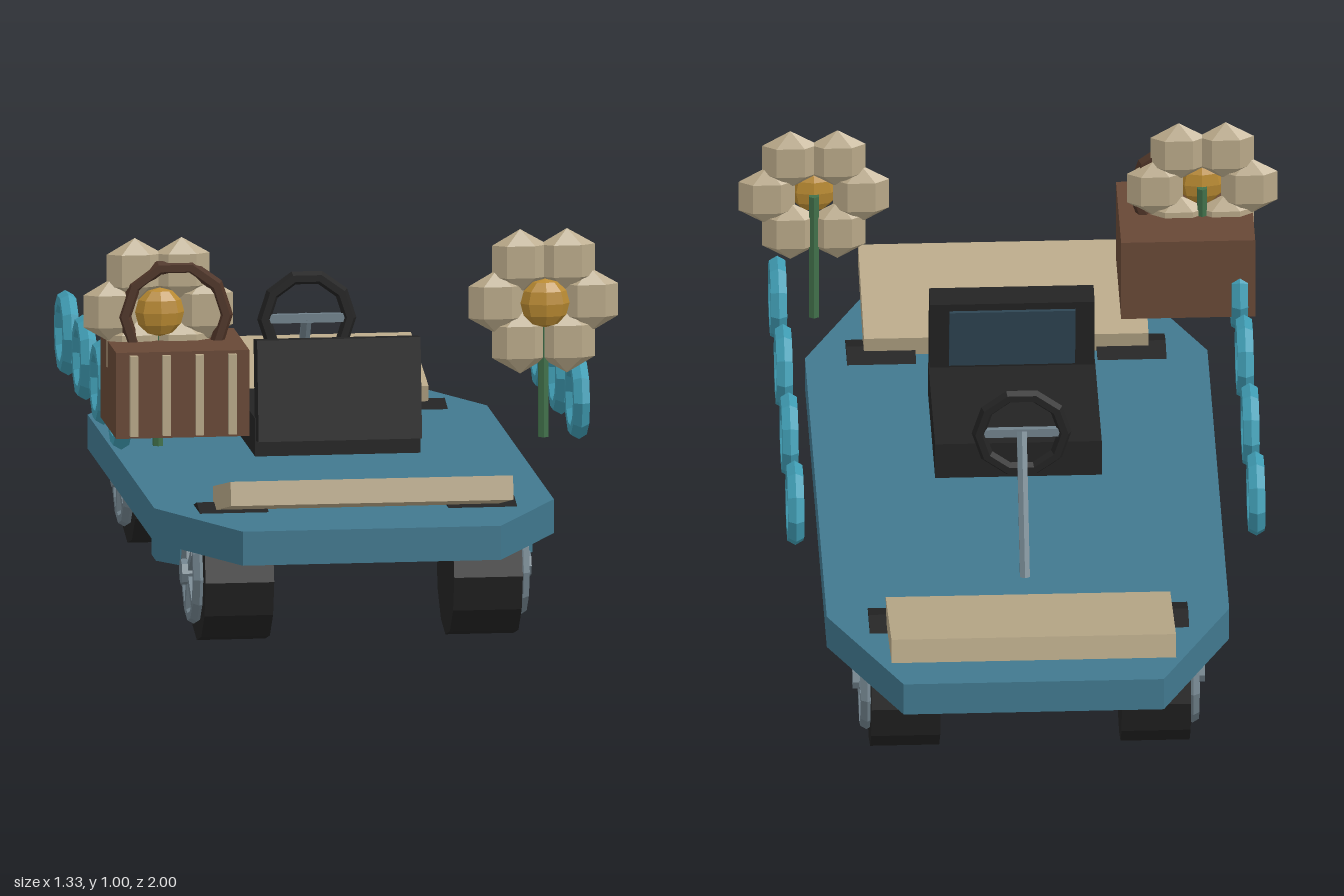
import * as THREE from 'three';

const mat = (name, color, extra = {}) => {
  const m = new THREE.MeshStandardMaterial({ color, flatShading: true, ...extra });
  m.name = name;
  return m;
};

export function createModel() {
  const M = {
    blue: mat('deckBlue', 0x41798f),
    ring: mat('ringBlue', 0x409db4),
    beige: mat('beige', 0xb8a888),
    gold: mat('gold', 0xb98a32),
    brown: mat('basketBrown', 0x684836),
    dark: mat('handleBrown', 0x4e3427),
    black: mat('black', 0x232323),
    grey: mat('metalGrey', 0x71828c),
    green: mat('stemGreen', 0x41704a),
    slate: mat('panelSlate', 0x2d4452),
  };
  const model = new THREE.Group();
  model.name = 'flowerBuggy';

  const add = (parent, name, geo, material, x = 0, y = 0, z = 0) => {
    const mesh = new THREE.Mesh(geo, material);
    mesh.name = name;
    mesh.position.set(x, y, z);
    parent.add(mesh);
    return mesh;
  };
  const group = (name, x, y, z) => {
    const g = new THREE.Group();
    g.name = name;
    g.position.set(x, y, z);
    model.add(g);
    return g;
  };
  const box = (w, h, d) => new THREE.BoxGeometry(w, h, d);

  // Eight-sided deck
  const outline = [[0.495, 0.645], [0.32, 0.99], [-0.32, 0.99], [-0.495, 0.645],
    [-0.495, -0.645], [-0.32, -0.99], [0.32, -0.99], [0.495, -0.645]];
  const deckShape = new THREE.Shape(outline.map(([x, z]) => new THREE.Vector2(x, z)));
  const deckGeo = new THREE.ExtrudeGeometry(deckShape, { depth: 0.085, bevelEnabled: false });
  deckGeo.rotateX(Math.PI / 2);
  add(model, 'deck', deckGeo, M.blue, 0, 0.327, 0);

  // Tilted end boards
  for (const s of [1, -1]) {
    const board = add(model, s > 0 ? 'frontBoard' : 'rearBoard', box(0.7, 0.06, 0.35), M.beige, 0, 0.386, s * 0.822);
    board.rotation.x = -s * 0.21;
  }

  // Wheels: tyre, rim, hub and five spokes on the outer side
  const tyreGeo = new THREE.CylinderGeometry(0.172, 0.172, 0.17, 12).rotateZ(Math.PI / 2).rotateX(Math.PI / 2);
  const rimGeo = new THREE.TorusGeometry(0.113, 0.018, 6, 12).rotateY(Math.PI / 2);
  const hubGeo = new THREE.CylinderGeometry(0.032, 0.032, 0.04, 8).rotateZ(Math.PI / 2);
  for (const sx of [1, -1]) for (const sz of [1, -1]) {
    const wheel = group('wheel', sx * 0.308, 0.172, sz * 0.67);
    add(wheel, 'tyre', tyreGeo, M.black);
    add(wheel, 'rim', rimGeo, M.grey, sx * 0.093);
    add(wheel, 'hub', hubGeo, M.grey, sx * 0.105);
    for (let i = 0; i < 5; i++) {
      const a = (i * Math.PI * 2) / 5;
      const spoke = add(wheel, 'spoke', box(0.02, 0.022, 0.1), M.grey,
        sx * 0.1, Math.sin(a) * 0.06, -Math.cos(a) * 0.06);
      spoke.rotation.x = a;
    }
  }

  // Drums below the deck
  for (const s of [1, -1])
    add(model, 'drum', new THREE.CylinderGeometry(0.138, 0.138, 0.067, 10), M.blue, s * 0.335, 0.194, 0.41);

  // Floating rings along both sides
  const ringGeo = new THREE.TorusGeometry(0.083, 0.023, 6, 10).rotateY(Math.PI / 2);
  for (const s of [1, -1]) for (let i = 0; i < 4; i++)
    add(model, 'sideRing', ringGeo, M.ring, s * 0.567, 0.562, 0.535 - i * 0.341);

  // Seat
  add(model, 'seatCushion', box(0.41, 0.095, 0.41), M.black, 0, 0.44, 0.125);
  const back = group('seatBack', 0, 0.557, 0.33);
  back.rotation.x = -0.12;
  add(back, 'backrest', box(0.405, 0.25, 0.07), M.black);
  add(back, 'backrestPanel', box(0.31, 0.16, 0.009), M.slate, 0, 0.025, -0.039);

  // Steering wheel on its slanted column
  const steering = group('steering', 0, 0.625, -0.27);
  add(steering, 'steeringWheel', new THREE.TorusGeometry(0.106, 0.017, 6, 10), M.black);
  add(steering, 'steeringBar', box(0.2, 0.022, 0.014), M.grey);
  const column = add(steering, 'steeringColumn', new THREE.CylinderGeometry(0.014, 0.014, 0.36, 6), M.grey, 0, -0.15, -0.098);
  column.rotation.x = 0.55;

  // Flowers: six flattened petals, a centre and a stem
  const petalGeo = new THREE.SphereGeometry(0.08, 6, 3).scale(1, 1, 0.36);
  // widen petals so neighbours meet
  petalGeo.scale(1.0, 1, 1);
  const centreGeo = new THREE.SphereGeometry(0.061, 8, 6).scale(1, 1, 0.55);
  for (const x of [0.475, -0.48]) {
    const flower = group('flower', x, 0.815, 0.6);
    for (let i = 0; i < 6; i++) {
      const a = (i * Math.PI) / 3;
      add(flower, 'petal', petalGeo, M.beige, Math.cos(a) * 0.116, Math.sin(a) * 0.116, 0);
    }
    add(flower, 'flowerCentre', centreGeo, M.gold, 0, 0, 0.03);
    add(flower, 'stem', new THREE.CylinderGeometry(0.014, 0.014, 0.34, 6), M.green, 0, -0.17, -0.005);
  }

  // Basket with slats and a ring handle
  const basket = group('basket', -0.44, 0.632, 0.613);
  add(basket, 'basketBody', box(0.33, 0.215, 0.305), M.brown);
  for (const x of [-0.122, -0.041, 0.041, 0.122])
    add(basket, 'slat', box(0.02, 0.2, 0.018), M.beige, x, 0, 0.16);
  add(basket, 'handle', new THREE.TorusGeometry(0.126, 0.018, 6, 10), M.dark, 0, 0.17, 0);

  return model;
}
